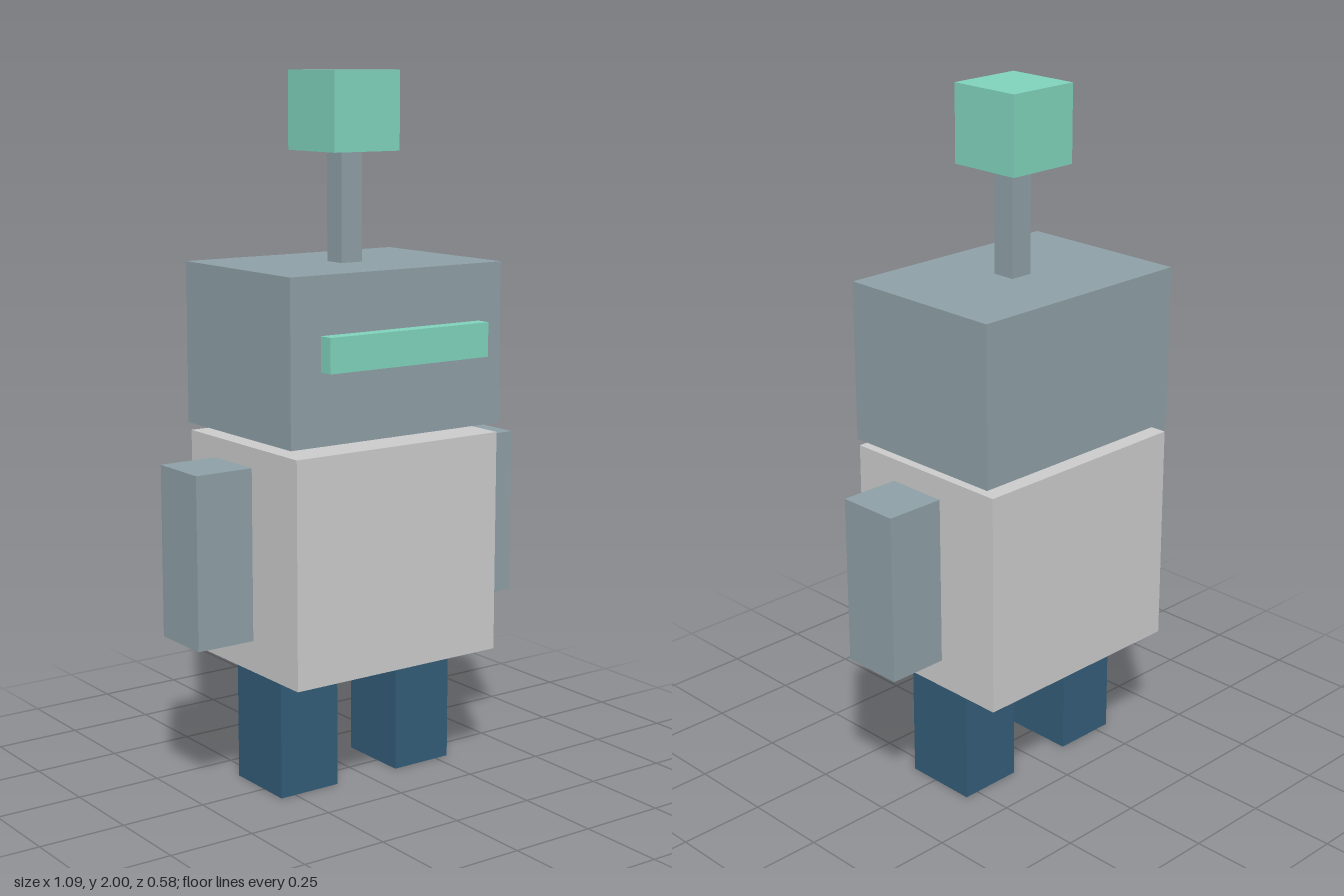
import * as THREE from 'three';

const COLORS = { steel: 0x8e9fa7, shell: 0xcdd1cf, navy: 0x335c78, mint: 0x7fd3bb };

export function createModel() {
  const model = new THREE.Group();
  model.name = 'robot';
  const materials = {};
  for (const [name, color] of Object.entries(COLORS)) {
    materials[name] = new THREE.MeshStandardMaterial({ color, flatShading: true });
  }

  // Shared centre lines of the figure
  const cx = -0.002, cz = -0.024;

  // Box standing on the given height, offset from the centre lines
  function block(name, material, [w, h, d], [x, bottom, z] = [0, 0, 0]) {
    const mesh = new THREE.Mesh(new THREE.BoxGeometry(w, h, d), materials[material]);
    mesh.name = name;
    mesh.position.set(cx + x, bottom + h / 2, cz + z);
    model.add(mesh);
  }

  // Trunk and head, with a narrow gap at the neck
  block('torso', 'shell', [0.682, 0.635, 0.53], [0, 0.36, 0]);
  block('head', 'steel', [0.709, 0.456, 0.516], [0, 1.02, 0]);

  // Visor floating just in front of the face
  block('visor', 'mint', [0.532, 0.096, 0.043], [0, 1.222, 0.291]);

  // Antenna
  block('antennaRod', 'steel', [0.069, 0.306, 0.069], [0, 1.476, 0.005]);
  block('antennaTip', 'mint', [0.219, 0.218, 0.221], [0, 1.782, 0.001]);

  // Paired limbs
  for (const [side, s] of [['left', 1], ['right', -1]]) {
    block(side + 'Arm', 'steel', [0.175, 0.483, 0.183], [s * 0.457, 0.465, 0]);
    block(side + 'Leg', 'navy', [0.191, 0.36, 0.22], [s * 0.199, 0, 0.003]);
  }

  return model;
}
